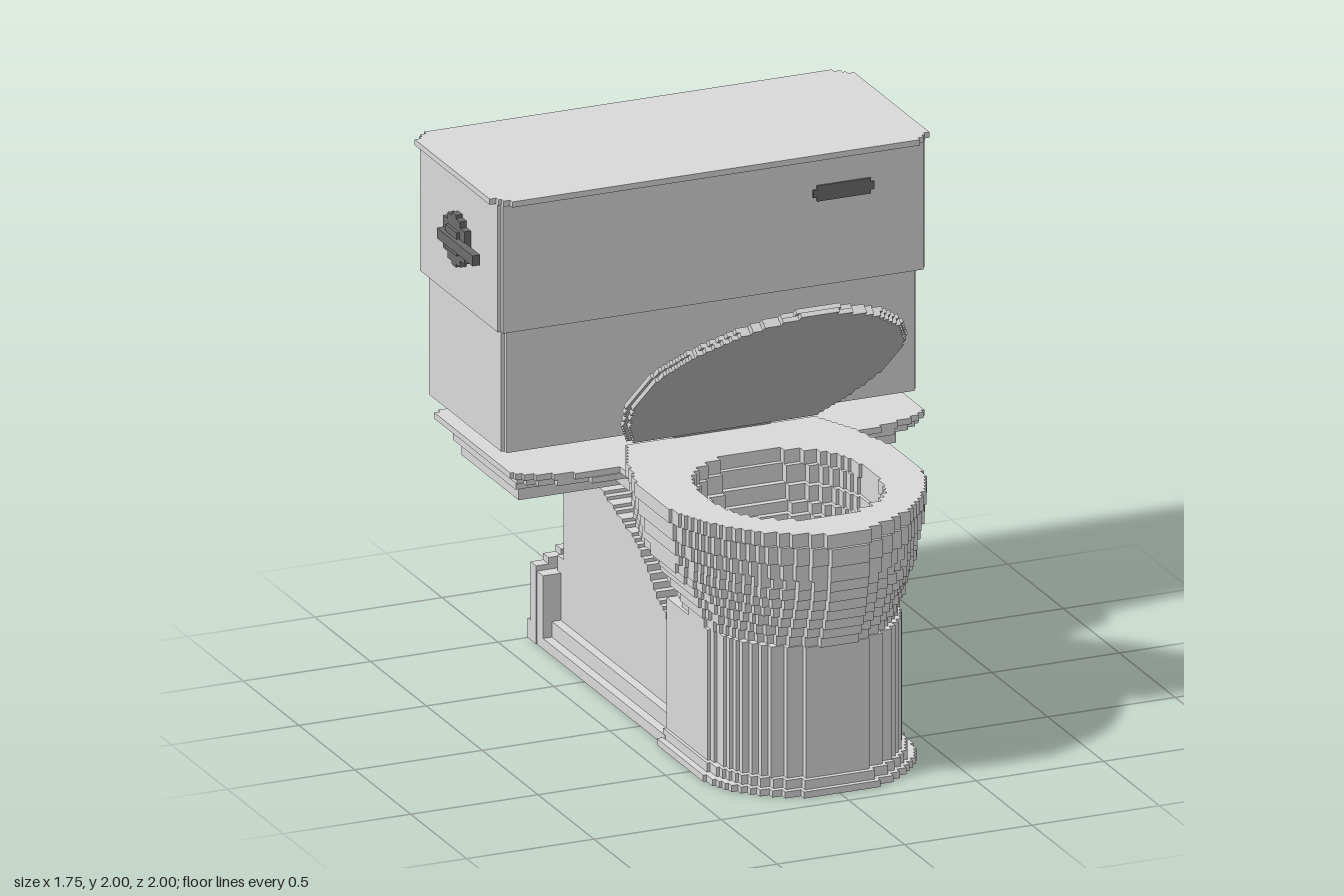
import * as THREE from 'three';

const X0 = 0.01; // shared centre line

// Straight-line lookup in a small [t, value] profile
function lookup(table, t) {
  for (let i = 1; i < table.length; i++) {
    const [a, va] = table[i - 1], [b, vb] = table[i];
    if (t <= b) return va + (vb - va) * Math.max(0, (t - a) / (b - a));
  }
  return table[table.length - 1][1];
}

// Staircase points of a function between a and b, snapped to a coarse grid
function stairs(fn, a, b, step = 0.028, snap = 0.0125) {
  const n = Math.max(1, Math.round((b - a) / step)), pts = [];
  let last = null;
  for (let i = 0; i < n; i++) {
    const z = a + (b - a) * i / n;
    const v = Math.max(snap * 2, Math.round(fn(z + (b - a) / n / 2) / snap) * snap);
    if (last === null) pts.push([v, z]);
    else if (v !== last) pts.push([last, z], [v, z]);
    last = v;
  }
  pts.push([last, b]);
  return pts;
}

// Mirrored staircase outline, half width as a function of z
function outline(fn, a, b, step) {
  const right = stairs(fn, a, b, step);
  const left = right.map(([x, z]) => [-x, z]).reverse();
  return [...right, ...left].map(([x, z]) => new THREE.Vector2(x, z));
}

// Flat slab between two heights, with an optional hole
function slab(points, y0, y1, hole) {
  const shape = new THREE.Shape(points);
  if (hole) shape.holes.push(new THREE.Path(hole));
  const g = new THREE.ExtrudeGeometry(shape, { depth: y1 - y0, bevelEnabled: false });
  return g.rotateX(Math.PI / 2).translate(0, y1, 0);
}

const EGG = [[0, .72], [.05, .78], [.13, .86], [.22, .92], [.31, .98], [.4, 1], [.56, 1], [.66, .93],
  [.75, .83], [.83, .69], [.89, .56], [.94, .39], [.97, .25], [1, .1]];
const egg = (z0, z1, hw) => outline(z => hw * lookup(EGG, (z - z0) / (z1 - z0)), z0, z1);
const oval = (z0, z1, hw) => outline(z => {
  const u = Math.abs(2 * (z - z0) / (z1 - z0) - 1);
  return hw * Math.pow(1 - Math.pow(u, 2.3), 1 / 2.3);
}, z0, z1, 0.035);

// Rectangle with stepped corners
const steppedRect = (z0, z1, hw, cut) => outline(z => {
  const d = Math.min(z - z0, z1 - z);
  return hw - Math.max(0, cut - d);
}, z0, z1, 0.02);

export function createModel() {
  const root = new THREE.Group();
  const body = new THREE.Group();
  body.position.x = X0;
  root.add(body);

  const porcelain = new THREE.MeshStandardMaterial({ color: 0xdcdcdc });
  porcelain.name = 'light grey porcelain';
  const metal = new THREE.MeshStandardMaterial({ color: 0x6e6e6e });
  metal.name = 'dark grey metal';

  function add(name, geometry, material = porcelain, parent = body) {
    const mesh = new THREE.Mesh(geometry, material);
    mesh.name = name;
    parent.add(mesh);
    return mesh;
  }
  const box = (x0, x1, y0, y1, z0, z1) => new THREE.BoxGeometry(x1 - x0, y1 - y0, z1 - z0)
    .translate((x0 + x1) / 2, (y0 + y1) / 2, (z0 + z1) / 2);

  // Cistern: lower box, wider upper box and thin cover
  add('tankLower', slab(steppedRect(-.945, -.26, .81, .025), 1.02, 1.49));
  add('tankUpper', slab(steppedRect(-.97, -.235, .838, .025), 1.49, 1.978));
  add('tankCover', slab(steppedRect(-1, -.21, .862, .07), 1.978, 2));

  // Shelf under the cistern, stepped inwards towards the bottom
  const shelfEdge = [[-.9, .78], [-.87, .81], [-.2, .81], [-.17, .77], [-.14, .72], [-.11, .6], [-.1, .43], [.1, .43]];
  add('shelfTop', slab(outline(z => lookup(shelfEdge, z), -.9, .02, .02), .943, .966));
  add('shelfRim', slab(outline(z => lookup(shelfEdge, z) - .025, -.87, -.02, .025), .92, .943));
  add('shelfMiddle', box(-.76, .76, .87, .92, -.83, -.27));
  add('shelfBottom', box(-.74, .74, .82, .87, -.8, -.29));
  add('bowlNeck', box(-.36, .36, .84, .95, -.3, .06));

  // Pipe joining cistern, shelf and base
  for (const [y0, y1] of [[.7, .83], [.95, 1.03]]) {
    add('pipe', new THREE.CylinderGeometry(.062, .062, y1 - y0, 12)
      .translate(0, (y0 + y1) / 2, -.565), metal);
  }

  // Bowl: stacked rings, [top, back, front, half width]
  const rings = [
    [.968, -.16, .998, .49], [.9, -.17, .99, .475], [.84, -.18, .985, .465], [.8, -.16, .98, .46],
    [.76, -.11, .97, .435], [.72, -.07, .955, .415], [.68, -.02, .94, .4],
    [.64, .04, .92, .385], [.6, .09, .9, .37], [.56]];
  for (let i = 0; i < rings.length - 1; i++) {
    const [top, back, front, hw] = rings[i];
    const hole = i < 8 ? oval(.1 + i * .025, .79 - i * .012, .325 - i * .014) : null;
    add('bowlRing', slab(egg(back, front, hw), rings[i + 1][0], top, hole));
  }

  // Seat ring
  add('seat', slab(egg(-.165, .985, .505), .968, 1.02, oval(.08, .8, .325)));

  // Half-open lid, two thin layers on a hinge
  const lid = new THREE.Group();
  lid.name = 'lid';
  lid.position.set(0, 1.035, -.16);
  lid.rotation.x = -Math.atan2(.75, .88);
  body.add(lid);
  add('lidOuter', slab(egg(0, 1.145, .505), 0, .018), porcelain, lid);
  add('lidInner', slab(egg(.025, 1.15, .49), -.018, 0), porcelain, lid);
  add('lidHinge', box(-.19, .19, -.012, .016, -.02, .05), porcelain, lid);

  // Front pedestal column and its foot
  const column = [[.1, 1], [.55, 1], [.65, .93], [.73, .82], [.8, .66], [.85, .46], [.88, .25]];
  const columnShape = (front, hw) => outline(z => hw * lookup(column, z - (front - .88)), .2, front);
  add('column', slab(columnShape(.88, .372), .06, .56));
  add('footUpper', slab(columnShape(.9, .39), .025, .06));
  add('footLower', slab(columnShape(.92, .415), 0, .025));

  // Rear base: stepped side profile carried across the width
  const height = [[-.84, .66], [-.76, .675], [-.68, .7], [-.63, .725], [-.5, .725], [-.4, .69], [-.3, .66],
    [-.2, .63], [-.1, .57], [0, .48], [.1, .42], [.2, .375]];
  const side = stairs(z => lookup(height, z), -.845, .21).map(([y, z]) => new THREE.Vector2(-z, y));
  side.push(new THREE.Vector2(-.21, 0), new THREE.Vector2(.845, 0));
  add('rearBase', new THREE.ExtrudeGeometry(new THREE.Shape(side), { depth: .64, bevelEnabled: false })
    .translate(0, 0, -.32).rotateY(Math.PI / 2));
  add('rearPlinth', box(-.355, .355, .04, .1, -.88, .22));
  add('rearFoot', box(-.39, .39, 0, .04, -.89, .22));
  add('rearStep', box(-.32, .32, 0, .34, -.9, -.8));
  add('rearBlock', box(-.39, .39, 0, .28, -.94, -.87));

  // Arched plates at the very back
  function arch(name, hw, edge, crown, z0, z1) {
    const pts = stairs(x => edge + (crown - edge) * (1 - (x / hw) ** 2), -hw, hw, .05, .025)
      .map(([y, x]) => new THREE.Vector2(x, y));
    pts.push(new THREE.Vector2(hw, 0), new THREE.Vector2(-hw, 0));
    add(name, new THREE.ExtrudeGeometry(new THREE.Shape(pts), { depth: z1 - z0, bevelEnabled: false })
      .translate(0, 0, z0));
  }
  arch('rearArch', .393, .28, .4, -.975, -.925);
  arch('rearArchLow', .393, .05, .2, -1, -.97);

  // Flush plate on the front of the cistern
  add('flushPlate', box(.39, .63, 1.83, 1.86, -.237, -.228), metal);
  add('flushPlateMiddle', box(.405, .615, 1.815, 1.875, -.237, -.228), metal);

  // Flush lever on the right side of the cistern
  const rose = slab(oval(-.095, .095, .095), 0, .03).rotateZ(Math.PI / 2);
  add('leverRose', rose.translate(-.833, 1.735, -.59), metal);
  add('leverHub', box(-.875, -.85, 1.69, 1.78, -.64, -.54), metal);
  add('leverArm', box(-.89, -.86, 1.715, 1.755, -.68, -.36), metal);

  return root;
}
